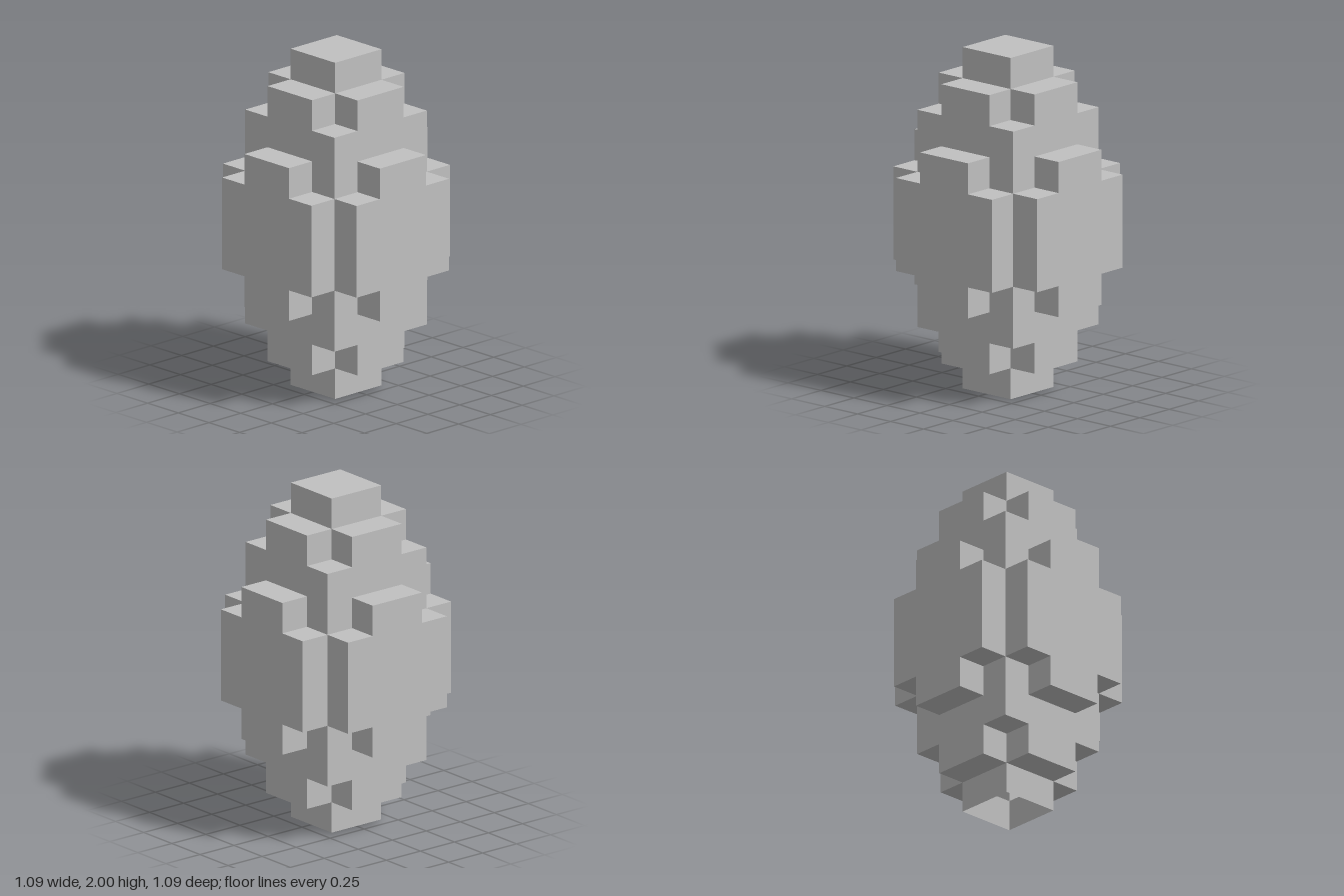
import * as THREE from 'three';
import { mergeGeometries } from 'three/addons/utils/BufferGeometryUtils.js';

const U = 2 / 11; // edge length of one block

// Vertical range [bottom, top) of each column, by its distance from the two mid planes
const SPANS = [
  [[0, 11], [1, 10], [3, 8]],
  [[1, 10], [2, 9], [4, 7]],
  [[3, 8], [4, 7], [0, 0]],
];

// Cell indices run -3..2 across, 0..10 upwards
function filled(x, y, z) {
  const a = x < 0 ? -x - 1 : x;
  const b = z < 0 ? -z - 1 : z;
  if (a > 2 || b > 2) return false;
  const [low, high] = SPANS[a][b];
  return y >= low && y < high;
}

// One square facing along a unit direction
function blockFace(x, y, z, dir) {
  const normal = new THREE.Vector3(...dir);
  const centre = new THREE.Vector3(x + 0.5, y + 0.5, z + 0.5)
    .addScaledVector(normal, 0.5).multiplyScalar(U);
  const face = new THREE.PlaneGeometry(U, U);
  face.applyQuaternion(new THREE.Quaternion().setFromUnitVectors(new THREE.Vector3(0, 0, 1), normal));
  return face.translate(centre.x, centre.y, centre.z);
}

export function createModel() {
  const group = new THREE.Group();
  group.name = 'blockEgg';

  const shellGrey = new THREE.MeshStandardMaterial({ color: 0xc0c0c0, side: THREE.DoubleSide });
  shellGrey.name = 'shellGrey';

  // Hollow stepped shell: only outer faces, left open underneath at the ground
  const directions = [[1, 0, 0], [-1, 0, 0], [0, 1, 0], [0, -1, 0], [0, 0, 1], [0, 0, -1]];
  const faces = [];
  for (let x = -3; x < 3; x++) {
    for (let y = 0; y < 11; y++) {
      for (let z = -3; z < 3; z++) {
        if (!filled(x, y, z)) continue;
        for (const dir of directions) {
          const openBase = y === 0 && dir[1] < 0;
          if (openBase || filled(x + dir[0], y + dir[1], z + dir[2])) continue;
          faces.push(blockFace(x, y, z, dir));
        }
      }
    }
  }
  const shell = new THREE.Mesh(mergeGeometries(faces), shellGrey);
  shell.name = 'shell';
  group.add(shell);
  return group;
}
